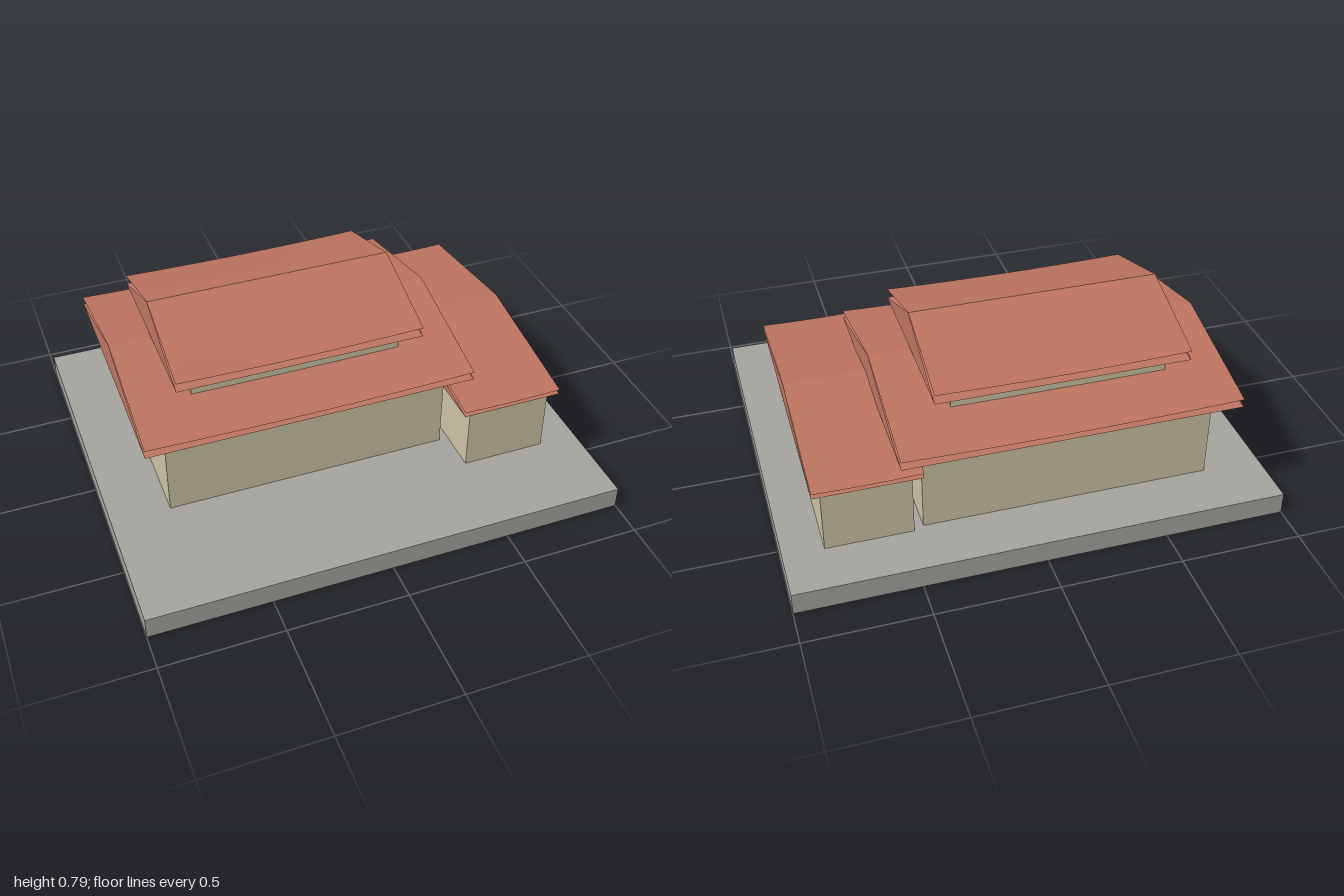
import * as THREE from 'three';

const mat = (name, color, side = THREE.FrontSide) => {
  const m = new THREE.MeshStandardMaterial({ color, side });
  m.name = name;
  return m;
};

export function createModel() {
  const stone = mat('stone grey', 0xa3a29d);
  const plaster = mat('cream plaster', 0xc9c1a2);
  const tile = mat('terracotta', 0xbc7360, THREE.DoubleSide);
  const model = new THREE.Group();
  model.name = 'tieredHouse';

  const add = (parent, name, geometry, material) => {
    const mesh = new THREE.Mesh(geometry, material);
    mesh.name = name;
    parent.add(mesh);
    return mesh;
  };

  // Box given by its limits on each axis
  const block = (name, [x0, x1], [y0, y1], [z0, z1], material) =>
    add(model, name, new THREE.BoxGeometry(x1 - x0, y1 - y0, z1 - z0), material)
      .position.set((x0 + x1) / 2, (y0 + y1) / 2, (z0 + z1) / 2);

  // One roof slope: straight ridge, eave dipping slightly in the middle
  const slope = (r, dir) => {
    const geo = new THREE.PlaneGeometry(2, 1, 12, 4);
    const p = geo.attributes.position;
    for (let i = 0; i < p.count; i++) {
      const u = p.getX(i) * dir;
      const t = 0.5 - p.getY(i);
      const y = r.ridge - (r.ridge - r.eave) * t - r.sag * (1 - u * u) * t * t;
      p.setXYZ(i, u * r.width / 2, y, dir * t * r.depth / 2);
    }
    geo.computeVertexNormals();
    return geo;
  };

  // Gabled roof: two slopes lifted off a flat soffit, with a triangle at each end
  const roof = (name, r) => {
    const group = new THREE.Group();
    group.name = name;
    group.position.set(r.x, 0, r.z);
    for (const dir of [1, -1]) {
      add(group, dir > 0 ? 'frontSlope' : 'backSlope', slope(r, dir), tile);
      const tri = new THREE.Shape([
        new THREE.Vector2(-r.depth / 2, r.base),
        new THREE.Vector2(r.depth / 2, r.base),
        new THREE.Vector2(0, r.ridge),
      ]);
      const gable = add(group, dir > 0 ? 'leftGable' : 'rightGable', new THREE.ShapeGeometry(tri), tile);
      gable.rotation.y = dir * Math.PI / 2;
      gable.position.x = dir * r.width / 2;
    }
    const soffit = add(group, 'soffit', new THREE.PlaneGeometry(r.width, r.depth), tile);
    soffit.rotation.x = Math.PI / 2;
    soffit.position.y = r.base;
    model.add(group);
  };

  // Plinth and walls
  block('plinth', [-1, 1], [0, 0.093], [-0.848, 0.848], stone);
  block('mainWalls', [-0.755, 0.44], [0.093, 0.462], [-0.615, 0.31], plaster);
  block('upperWalls', [-0.6, 0.285], [0.462, 0.618], [-0.48, 0.175], plaster);
  block('wingWalls', [0.48, 0.835], [0.093, 0.385], [-0.635, 0.485], plaster);

  // Roofs
  roof('mainRoof', { x: -0.157, z: -0.155, width: 1.385, depth: 1.09, ridge: 0.617, eave: 0.494, base: 0.459, sag: 0.01 });
  roof('upperRoof', { x: -0.155, z: -0.155, width: 1.04, depth: 0.795, ridge: 0.786, eave: 0.661, base: 0.621, sag: 0.008 });
  roof('wingRoof', { x: 0.657, z: -0.08, width: 0.43, depth: 1.19, ridge: 0.493, eave: 0.403, base: 0.382, sag: 0.004 });

  return model;
}
